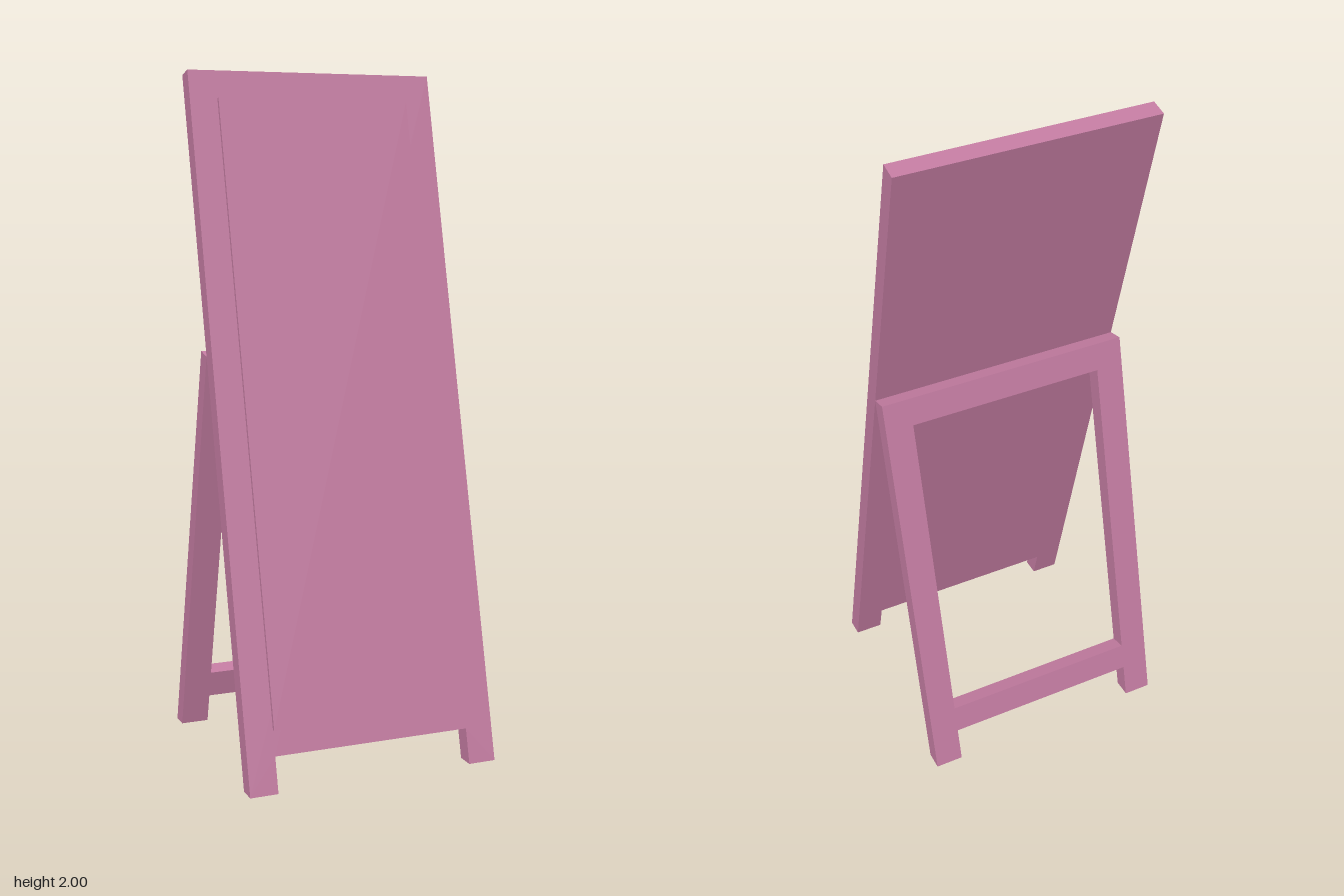
import * as THREE from 'three';

const HALF_W = 0.38, INNER = 0.297, FOOT_Z = 0.35, THICK = 0.0515;
const TILT = Math.atan(0.25), C = Math.cos(TILT), S = Math.sin(TILT);

const polygon = (Type, pts) => {
  const p = new Type();
  pts.forEach(([x, y], i) => (i ? p.lineTo(x, y / C) : p.moveTo(x, y / C)));
  p.closePath();
  return p;
};

const rect = (x, y0, y1) => [[-x, y0], [x, y0], [x, y1], [-x, y1]];

// Outline of a board standing on two short feet
const footed = (height) => polygon(THREE.Shape, [
  [-HALF_W, 0], [-INNER, 0], [-INNER, 0.1], [INNER, 0.1],
  [INNER, 0], [HALF_W, 0], [HALF_W, height], [-HALF_W, height],
]);

// Extrudes an outline and leans it back; the feet are cut level with the floor
function leaning(name, shape, back, front, material) {
  const geo = new THREE.ExtrudeGeometry(shape, { depth: front - back, bevelEnabled: false });
  geo.translate(0, 0, back);
  const p = geo.attributes.position;
  for (let i = 0; i < p.count; i++) {
    const z = p.getZ(i);
    const v = p.getY(i) < 1e-6 ? -z * S / C : p.getY(i);
    p.setY(i, v * C + z * S);
    p.setZ(i, FOOT_Z - v * S + z * C);
  }
  geo.computeVertexNormals();
  const mesh = new THREE.Mesh(geo, material);
  mesh.name = name;
  return mesh;
}

export function createModel() {
  const group = new THREE.Group();
  group.name = 'standingSignBoard';
  const material = new THREE.MeshStandardMaterial({ color: 0xc27ba0 });

  // Front board with its display panel
  group.add(leaning('frontBoard', footed(2), -THICK, 0, material));
  const panel = polygon(THREE.Shape, rect(INNER, 0.17, 1.92));
  group.add(leaning('displayPanel', panel, -0.005, 0.01, material));

  // Open rear support, leaning the other way
  const support = footed(1.2);
  support.holes.push(polygon(THREE.Path, rect(INNER, 0.18, 1.12)));
  const rear = leaning('rearSupport', support, -THICK, 0, material);
  rear.rotation.y = Math.PI;
  group.add(rear);

  return group;
}
